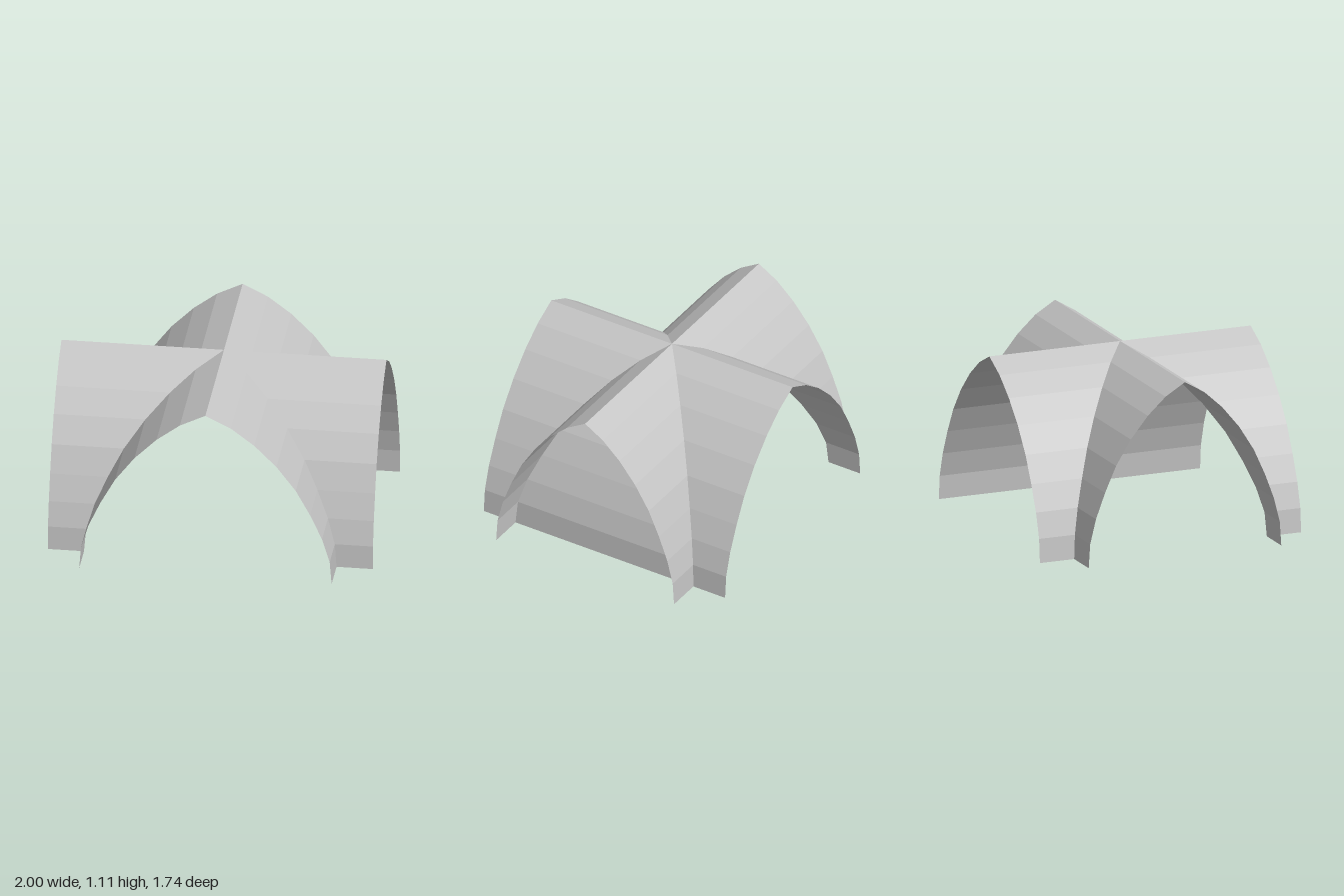
import * as THREE from 'three';

// Pointed arch, from springing to crown: [half width, height]
const ARCH = [
  [0.777, 0], [0.765, 0.15], [0.718, 0.305], [0.645, 0.465], [0.556, 0.628],
  [0.437, 0.785], [0.3, 0.922], [0.157, 1.03], [0, 1.108],
];
const RATIO = 0.64 / 0.777; // width of the cross barrel against the main barrel
const HALF_X = 1;
const HALF_Z = 0.868;

// Flat-shaded strips between two rows of points, all facing outward and up
function stripGeometry(rowA, rowB) {
  const positions = [];
  const addTriangle = (a, b, c) => {
    const normal = b.clone().sub(a).cross(c.clone().sub(a));
    if (normal.length() < 1e-7) return;
    const corners = normal.y < 0 ? [a, c, b] : [a, b, c];
    corners.forEach((p) => positions.push(p.x, p.y, p.z));
  };
  for (let i = 0; i < rowA.length - 1; i++) {
    addTriangle(rowA[i], rowB[i], rowB[i + 1]);
    addTriangle(rowA[i], rowB[i + 1], rowA[i + 1]);
  }
  const geometry = new THREE.BufferGeometry();
  geometry.setAttribute('position', new THREE.Float32BufferAttribute(positions, 3));
  geometry.computeVertexNormals();
  return geometry;
}

export function createModel() {
  const vault = new THREE.Group();
  vault.name = 'groinVault';
  const stone = new THREE.MeshStandardMaterial({ color: 0xc4c4c4, side: THREE.DoubleSide, flatShading: true });
  stone.name = 'pale grey stone';

  const row = (point) => ARCH.map(([w, y]) => new THREE.Vector3(...point(w, y)));
  const addWeb = (name, rowA, rowB) => {
    const mesh = new THREE.Mesh(stripGeometry(rowA, rowB), stone);
    mesh.name = name;
    vault.add(mesh);
  };

  for (const sx of [-1, 1]) {
    for (const sz of [-1, 1]) {
      const corner = (sz > 0 ? 'front' : 'back') + (sx > 0 ? 'Left' : 'Right');
      const groin = row((w, y) => [sx * w, y, sz * w * RATIO]);

      // Cross barrel: from the groin out to the side arch
      addWeb(corner + 'CrossWeb', groin, row((w, y) => [sx * HALF_X, y, sz * w * RATIO]));

      // Main barrel on the open side: from the groin out to the end arch
      if (sx < 0) addWeb(corner + 'MainWeb', groin, row((w, y) => [sx * w, y, sz * HALF_Z]));
    }
  }

  // Main barrel on the closed side runs unbroken through the crossing
  addWeb('leftMainWall', row((w, y) => [w, y, -HALF_Z]), row((w, y) => [w, y, HALF_Z]));

  return vault;
}
